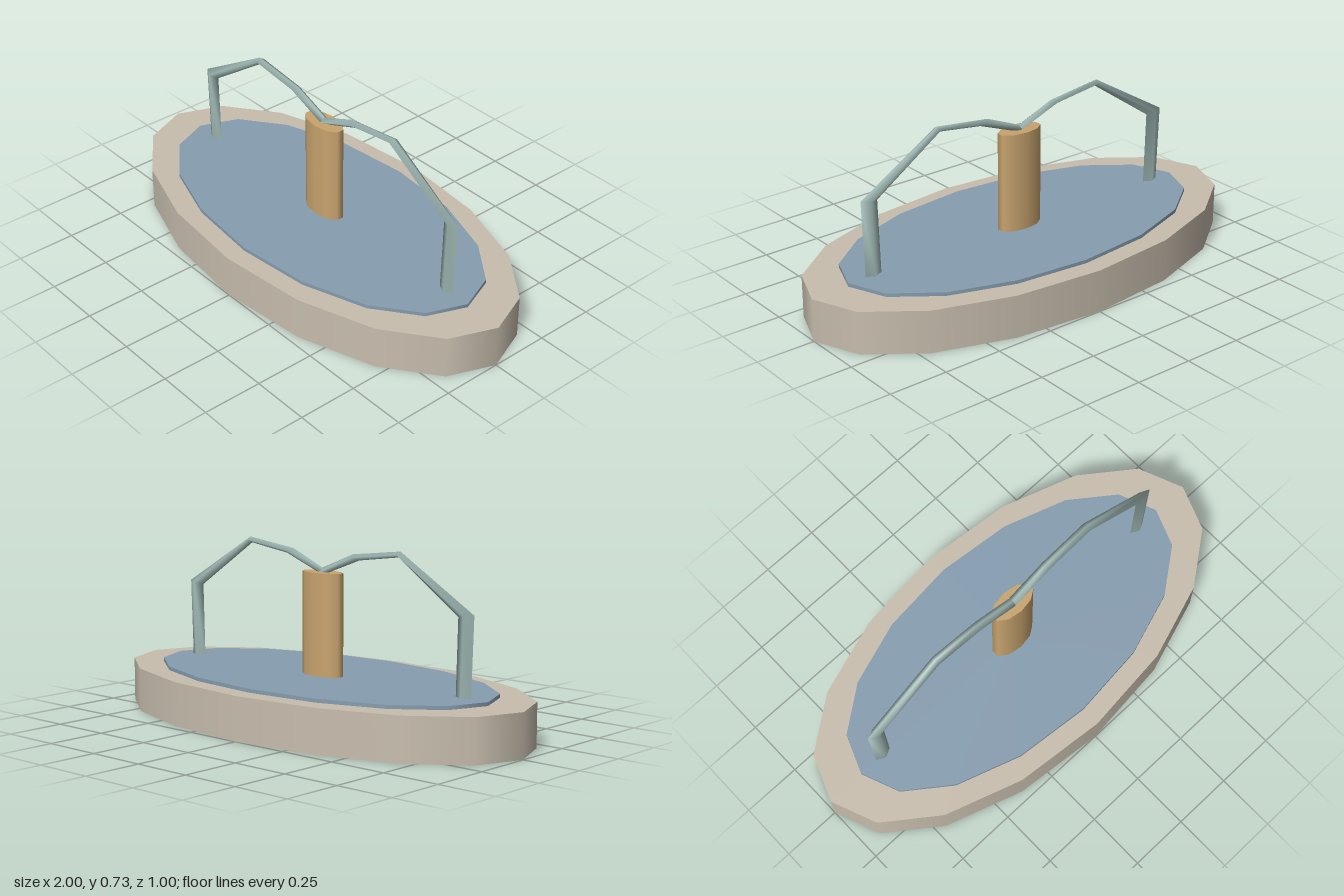
import * as THREE from 'three';

const mat = (name, color) => {
  const m = new THREE.MeshStandardMaterial({ color });
  m.name = name;
  return m;
};

// Upright cylinder squashed to half depth, spanning y0..y1
function disc(name, radius, y0, y1, sides, material) {
  const geo = new THREE.CylinderGeometry(radius, radius, y1 - y0, sides);
  geo.scale(1, 1, 0.5);
  geo.translate(0, (y0 + y1) / 2, 0);
  const mesh = new THREE.Mesh(geo, material);
  mesh.name = name;
  return mesh;
}

// Diamond-section spout; each ring is [outerX, outerY, innerX, innerY]
function spoutGeometry(rings, halfDepth) {
  const pos = [], idx = [];
  for (const [ox, oy, ix, iy] of rings) {
    const mx = (ox + ix) / 2, my = (oy + iy) / 2;
    pos.push(ox, oy, 0, mx, my, halfDepth, ix, iy, 0, mx, my, -halfDepth);
  }
  for (let r = 0; r < rings.length - 1; r++) {
    for (let k = 0; k < 4; k++) {
      const a = r * 4 + k, b = r * 4 + (k + 1) % 4;
      idx.push(a, b, a + 4, b, b + 4, a + 4);
    }
  }
  const geo = new THREE.BufferGeometry();
  geo.setAttribute('position', new THREE.Float32BufferAttribute(pos, 3));
  geo.setIndex(idx);
  geo.computeVertexNormals();
  return geo;
}

export function createModel() {
  const group = new THREE.Group();
  group.name = 'fountain';
  const stone = mat('stone', 0xc8beae);
  const blue = mat('water', 0x869db0);
  const bronze = mat('bronze', 0xc8a46e);
  const jet = mat('jet', 0x9fb8b4);

  // Oval basin, water surface and central column
  group.add(disc('basin', 1, 0, 0.18, 16, stone));
  group.add(disc('water', 0.836, 0.17, 0.195, 16, blue));
  group.add(disc('column', 0.102, 0.19, 0.614, 10, bronze));

  // Two arching water jets, from the column top down into the basin
  const rings = [
    [-0.01, 0.627, 0.015, 0.607],
    [0.16, 0.697, 0.195, 0.675],
    [0.405, 0.727, 0.395, 0.703],
    [0.766, 0.514, 0.69, 0.502],
    [0.755, 0.185, 0.682, 0.185],
  ];
  const mirrored = rings.map(([ox, oy, ix, iy]) => [-ox, oy, -ix, iy]).reverse();
  [['leftJet', rings], ['rightJet', mirrored]].forEach(([name, r]) => {
    const mesh = new THREE.Mesh(spoutGeometry(r, 0.02), jet);
    mesh.name = name;
    group.add(mesh);
  });
  return group;
}
